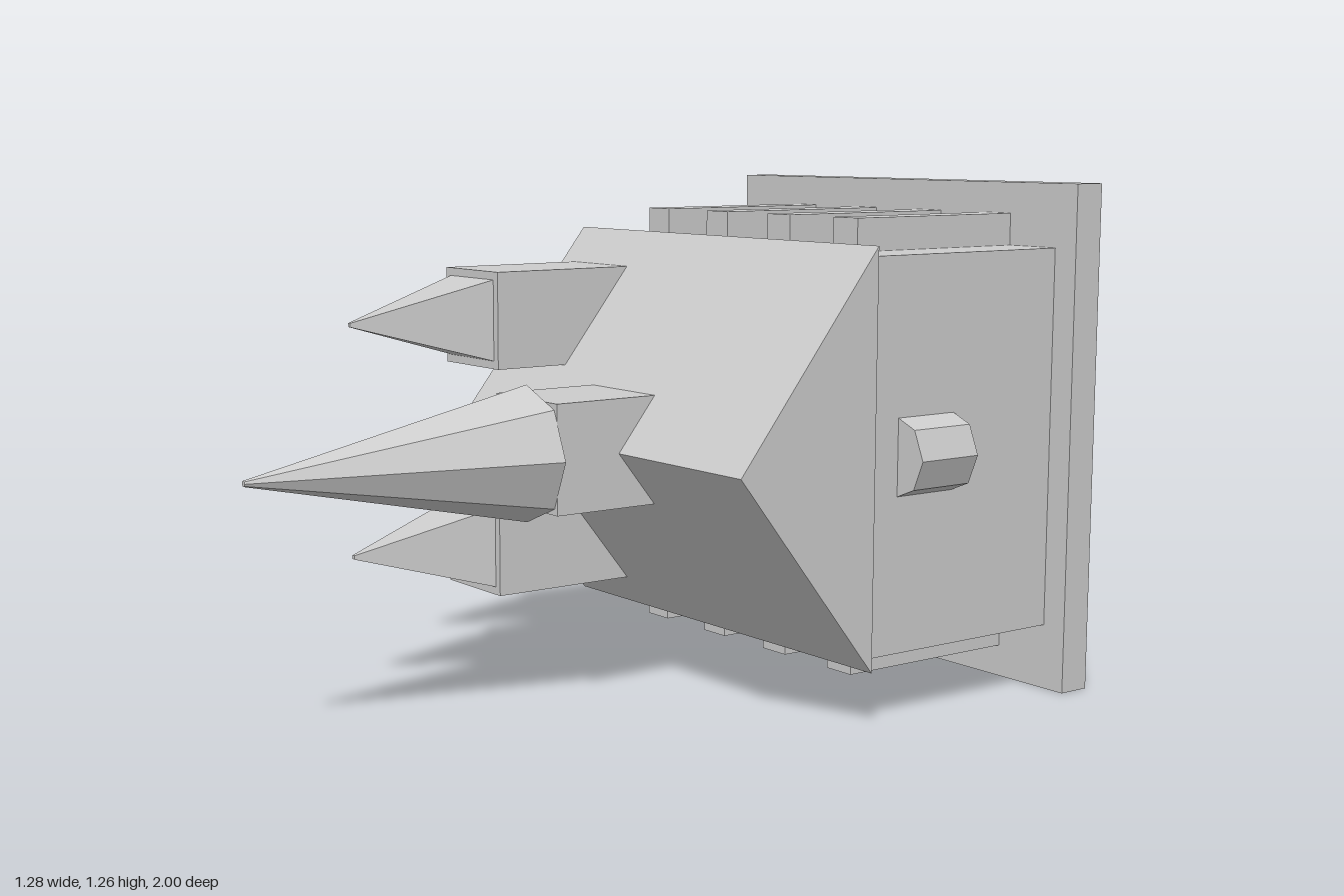
import * as THREE from 'three';

export function createModel() {
  const model = new THREE.Group();
  const stone = new THREE.MeshStandardMaterial({ color: 0xcccccc, flatShading: true });
  stone.name = 'pale grey';

  function add(name, geometry) {
    const mesh = new THREE.Mesh(geometry, stone);
    mesh.name = name;
    model.add(mesh);
    return mesh;
  }

  // Box given by its extents on each axis
  function block(name, [x0, x1], [y0, y1], [z0, z1]) {
    const geometry = new THREE.BoxGeometry(x1 - x0, y1 - y0, z1 - z0);
    return add(name, geometry.translate((x0 + x1) / 2, (y0 + y1) / 2, (z0 + z1) / 2));
  }

  // Faceted spire pointing forwards, with a tiny blunt tip
  function spire(name, x, y, z0, z1, radius, sides, turn) {
    const geometry = new THREE.CylinderGeometry(0.007, radius, z1 - z0, sides);
    geometry.rotateY(turn).rotateX(Math.PI / 2).translate(x, y, (z0 + z1) / 2);
    return add(name, geometry);
  }

  // The building lies on its back: its base plate is at the rear
  block('basePlate', [-0.64, 0.62], [0, 1.265], [-1, -0.915]);
  block('body', [-0.573, 0.553], [0.163, 1.108], [-0.915, -0.31]);

  // Gabled roof, its ridge towards the front
  const gable = new THREE.Shape();
  gable.moveTo(-0.31, 0.135);
  gable.lineTo(0.088, 0.634);
  gable.lineTo(-0.31, 1.133);
  gable.closePath();
  const roof = new THREE.ExtrudeGeometry(gable, { depth: 1.175, bevelEnabled: false });
  add('roof', roof.rotateY(-Math.PI / 2).translate(0.577, 0, 0));

  // Buttresses on both long walls
  for (const x of [-0.38, -0.133, 0.112, 0.358]) {
    for (const [y0, y1] of [[0.08, 0.2], [1.07, 1.188]]) {
      block('buttress', [x - 0.043, x + 0.043], [y0, y1], [-0.915, -0.403]);
    }
  }

  // Two square corner towers
  for (const y of [0.344, 0.922]) {
    block('cornerTower', [-0.545, -0.301], [y - 0.122, y + 0.122], [-0.305, 0.158]);
    spire('cornerSpire', -0.423, y, 0.158, 0.51, 0.144, 4, Math.PI / 4);
  }

  // Central tower with an overhanging eight-sided spire
  block('centralTower', [-0.141, 0.118], [0.502, 0.766], [-0.305, 0.265]);
  spire('centralSpire', -0.01, 0.634, 0.265, 1, 0.165, 8, 0);

  // Rounded eight-sided boss on the side wall
  const boss = new THREE.CylinderGeometry(0.1, 0.1, 0.178, 8);
  add('sideBoss', boss.rotateX(Math.PI / 2).translate(0.537, 0.635, -0.492));

  return model;
}
